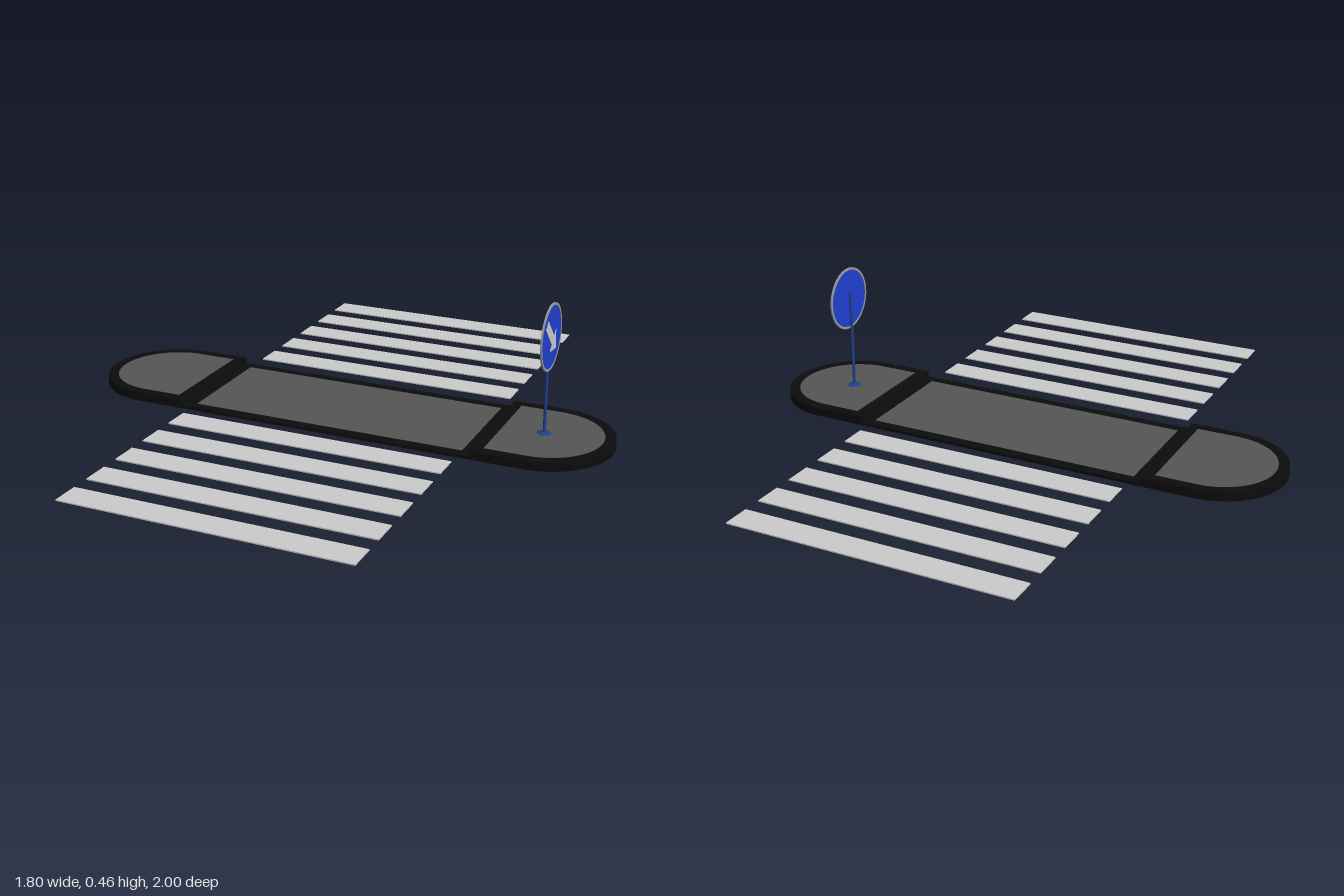
import * as THREE from 'three';

const mat = (color) => new THREE.MeshStandardMaterial({ color });

export function createModel() {
  const root = new THREE.Group();
  root.name = 'pedestrianIsland';
  const kerbMat = mat(0x0c0c0c), pavingMat = mat(0x555555), paintMat = mat(0xcccccc);
  const blueMat = mat(0x1f3fd0), poleMat = mat(0x1f3f90), rimMat = mat(0x999999);

  const add = (parent, name, geometry, material, x = 0, y = 0, z = 0) => {
    const mesh = new THREE.Mesh(geometry, material);
    mesh.name = name;
    mesh.position.set(x, y, z);
    parent.add(mesh);
    return mesh;
  };

  // Slab with one straight inner edge and one semicircular outer end
  const roundedEnd = (inner, r, height) => {
    const s = new THREE.Shape();
    s.moveTo(inner, -r);
    s.lineTo(0.675, -r);
    s.absarc(0.675, 0, r, -Math.PI / 2, Math.PI / 2, false);
    s.lineTo(inner, r);
    s.closePath();
    const g = new THREE.ExtrudeGeometry(s, { depth: height, bevelEnabled: false, curveSegments: 24 });
    return g.rotateX(-Math.PI / 2);
  };

  // Raised ends: black kerb with grey paving set inside
  for (const [side, turn] of [['left', 0], ['right', Math.PI]]) {
    const end = new THREE.Group();
    end.name = side + 'End';
    end.rotation.y = turn;
    add(end, 'kerb', roundedEnd(0.505, 0.225, 0.03), kerbMat);
    add(end, 'paving', roundedEnd(0.54, 0.19, 0.002), pavingMat, 0, 0.029, 0);
    root.add(end);
  }

  // Lowered walkway between the ends
  add(root, 'walkwayKerb', new THREE.BoxGeometry(1.01, 0.01, 0.45), kerbMat, 0, 0.005, 0);
  add(root, 'walkwayPaving', new THREE.BoxGeometry(0.94, 0.002, 0.38), pavingMat, 0, 0.01, 0);

  // Five crossing stripes on each side
  const stripe = new THREE.BoxGeometry(0.94, 0.004, 0.094);
  for (const s of [-1, 1]) {
    for (let i = 0; i < 5; i++) {
      add(root, 'crossingStripe', stripe, paintMat, 0, 0.01, s * (0.953 - i * 0.1557));
    }
  }

  // Sign post with a small domed foot
  const sign = new THREE.Group();
  sign.name = 'roadSign';
  sign.position.x = 0.675;
  root.add(sign);
  add(sign, 'pole', new THREE.CylinderGeometry(0.005, 0.005, 0.345, 16), poleMat, 0, 0.2025, 0);
  const foot = [[0.022, 0], [0.022, 0.003], [0.014, 0.006], [0.005, 0.008]]
    .map(([x, y]) => new THREE.Vector2(x, y));
  add(sign, 'poleFoot', new THREE.LatheGeometry(foot, 20), poleMat, 0, 0.03, 0);

  // Round sign plate facing +x
  const plate = new THREE.Group();
  plate.name = 'signPlate';
  plate.position.set(0.007, 0.352, 0);
  plate.rotation.y = Math.PI / 2;
  sign.add(plate);
  const disc = new THREE.CylinderGeometry(0.101, 0.101, 0.003, 48).rotateX(Math.PI / 2);
  add(plate, 'signDisc', disc, blueMat);
  const ring = new THREE.Shape().absarc(0, 0, 0.108, 0, Math.PI * 2);
  ring.holes.push(new THREE.Path().absarc(0, 0, 0.1, 0, Math.PI * 2, true));
  add(plate, 'signRim', new THREE.ExtrudeGeometry(ring,
    { depth: 0.005, bevelEnabled: false, curveSegments: 24 }), rimMat, 0, 0, -0.0025);

  // Diagonal arrow on the face
  const arrow = new THREE.Shape([
    [-0.075, -0.016], [0.022, -0.016], [0.022, -0.042], [0.072, 0],
    [0.022, 0.042], [0.022, 0.016], [-0.075, 0.016],
  ].map(([x, y]) => new THREE.Vector2(x, y)));
  const arrowMesh = add(plate, 'signArrow', new THREE.ExtrudeGeometry(arrow,
    { depth: 0.001, bevelEnabled: false }), paintMat, 0, 0, 0.0012);
  arrowMesh.rotation.z = -Math.PI / 4;

  return root;
}
